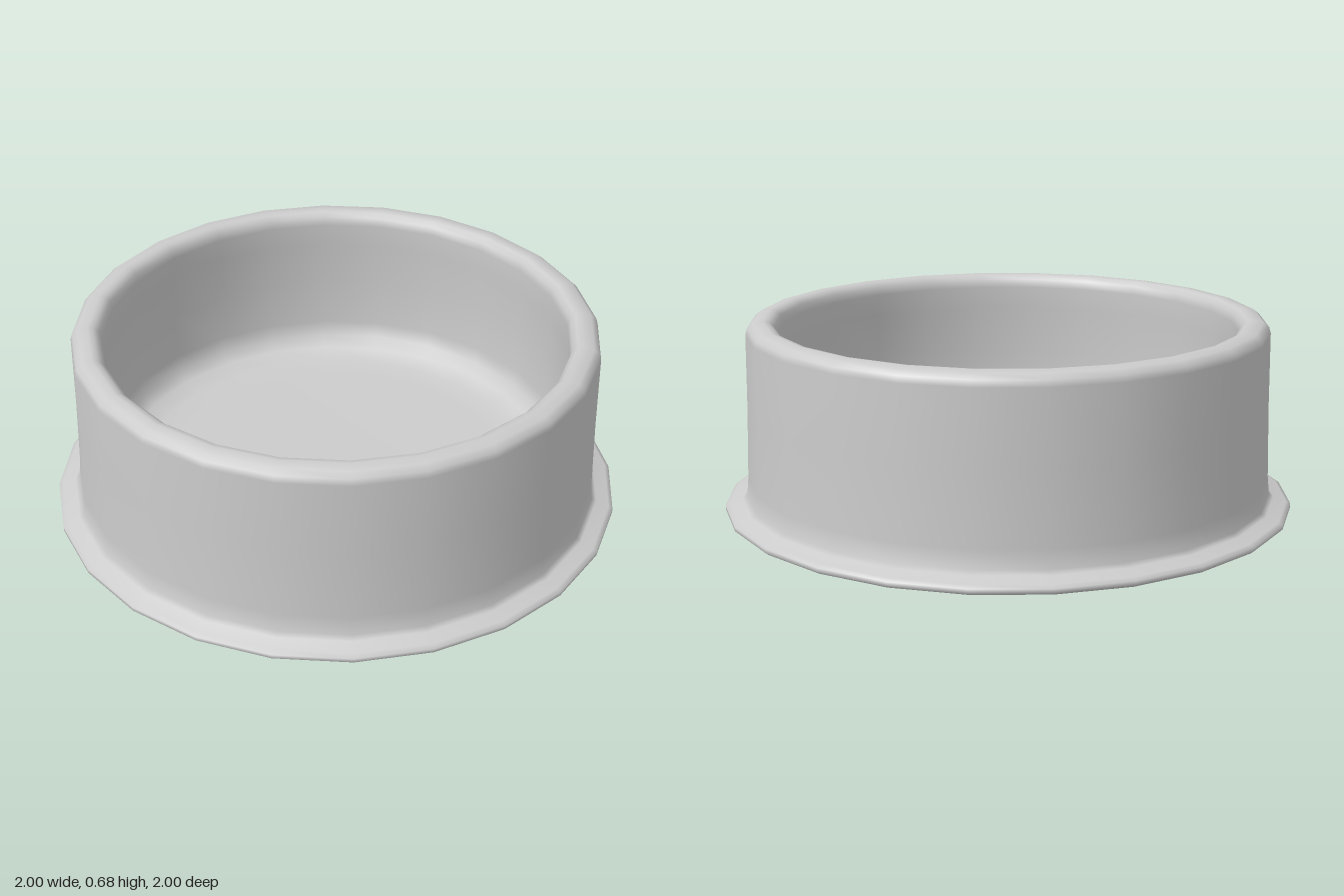
import * as THREE from 'three';

// Round bowl with a flared foot, turned from one closed profile (24 sides).
export function createModel() {
  const material = new THREE.MeshStandardMaterial({ color: 0xcccccc });
  const sides = 24;

  const profile = [
    // underside
    [0, 0], [0.9, 0], [0.95, 0.004],
    // foot flange
    [0.99, 0.01], [1, 0.018], [1, 0.032], [0.985, 0.04], [0.94, 0.054],
    // outer wall
    [0.924, 0.066], [0.918, 0.13], [0.912, 0.38], [0.91, 0.64],
    // rounded rim
    [0.904, 0.662], [0.885, 0.678], [0.85, 0.684], [0.83, 0.68], [0.812, 0.665], [0.805, 0.635],
    // inner wall, slightly wider below the rim
    [0.812, 0.55], [0.82, 0.38], [0.818, 0.2],
    // fillet into the floor
    [0.805, 0.145], [0.77, 0.11], [0.7, 0.09], [0.6, 0.085], [0, 0.085],
  ].map(([r, y]) => new THREE.Vector2(r, y));

  const bowl = new THREE.Mesh(new THREE.LatheGeometry(profile, sides), material);
  bowl.name = 'bowl';

  const group = new THREE.Group();
  group.name = 'footedBowl';
  group.add(bowl);
  return group;
}
